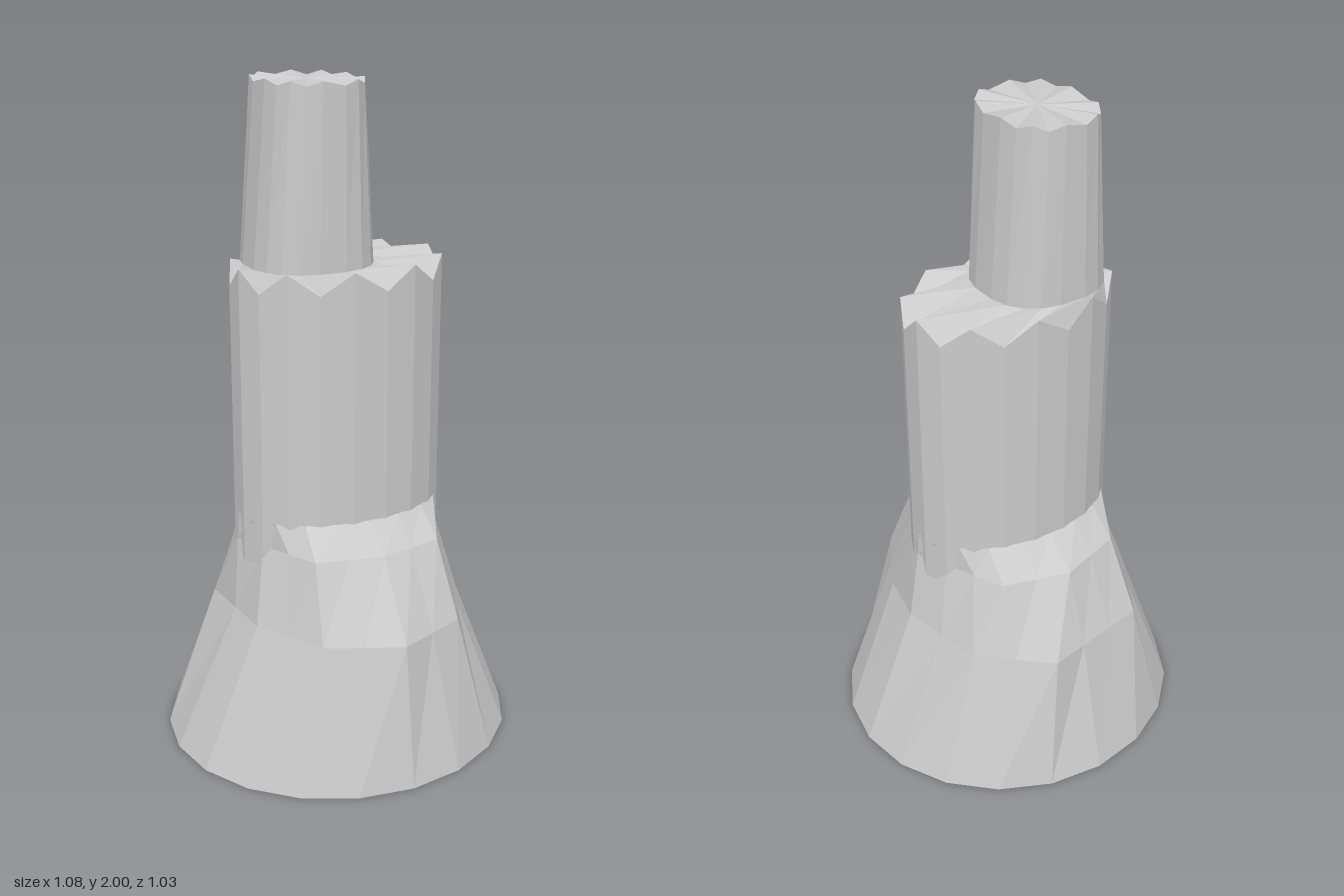
import * as THREE from 'three';

const N = 20;
const STEP = (Math.PI * 2) / N;

// Rounded-square or elliptical ring, starting near the front and running towards +x.
function oval(y, rx, rz, { cx = 0, power = 2, turn = 0, dip = 0 } = {}) {
  return Array.from({ length: N }, (_, i) => {
    const a = (i + turn) * STEP;
    const s = Math.sin(a), c = Math.cos(a);
    const bend = (v) => Math.sign(v) * Math.abs(v) ** (2 / power);
    return [cx + rx * bend(s), y - (i % 2 ? 0 : dip), rz * bend(c)];
  });
}

// Ring with a few corners [step, x, z], straight in between.
function cornered(y, corners) {
  const keys = [...corners, [N, corners[0][1], corners[0][2]]];
  return Array.from({ length: N }, (_, i) => {
    const k = keys.findIndex((p) => p[0] > i);
    const [i0, x0, z0] = keys[k - 1], [i1, x1, z1] = keys[k];
    const t = (i - i0) / (i1 - i0);
    return [x0 + (x1 - x0) * t, y, z0 + (z1 - z0) * t];
  });
}

const point = (x, y, z) => Array.from({ length: N }, () => [x, y, z]);

// Skin a stack of rings, bottom to top.
function loft(name, rings) {
  const index = [];
  for (let r = 0; r < rings.length - 1; r++) {
    for (let i = 0; i < N; i++) {
      const j = (i + 1) % N;
      const a = r * N + i, b = r * N + j;
      index.push(a, b, b + N, a, b + N, a + N);
    }
  }
  const geometry = new THREE.BufferGeometry();
  geometry.setAttribute('position', new THREE.Float32BufferAttribute(rings.flat(2), 3));
  geometry.setIndex(index);
  geometry.computeVertexNormals();
  const mesh = new THREE.Mesh(geometry, new THREE.MeshStandardMaterial({
    color: 0xcccccc, flatShading: true, side: THREE.DoubleSide,
  }));
  mesh.name = name;
  return mesh;
}

export function createModel() {
  const group = new THREE.Group();
  group.name = 'tower';

  // Flared foot, open underneath, with irregular shoulders
  group.add(loft('flaredBase', [
    oval(0, 0.54, 0.515),
    cornered(0.435, [
      [0, 0, 0.457], [2, 0.22, 0.37], [4, 0.335, 0.16], [5, 0.365, 0],
      [7, 0.305, -0.27], [9, 0.115, -0.435], [12, -0.22, -0.375],
      [14, -0.355, -0.14], [16, -0.335, 0.15], [18, -0.22, 0.36],
    ]),
    cornered(0.66, [
      [0, 0, 0.315], [2, 0.2, 0.27], [5, 0.33, 0], [8, 0.2, -0.27],
      [10, 0, -0.33], [12, -0.2, -0.27], [15, -0.33, 0], [18, -0.2, 0.27],
    ]),
    oval(0.74, 0.325, 0.225),
  ]));

  // Oval shaft with a zigzag rim and a pleated ledge running in to the column
  const neck = { cx: -0.0975, power: 2.5, turn: 0.5 };
  group.add(loft('shaft', [
    oval(0.6, 0.327, 0.226, { turn: 0.5 }),
    oval(1.485, 0.327, 0.226, { turn: 0.5, dip: 0.062 }),
    oval(1.48, 0.183, 0.18, neck),
  ]));

  // Off-centre tapering column with a faintly pleated cap
  group.add(loft('topColumn', [
    oval(1.48, 0.183, 0.18, neck),
    oval(2, 0.145, 0.18, { ...neck, cx: -0.093, dip: 0.014 }),
    point(-0.095, 1.992, 0),
  ]));

  return group;
}
